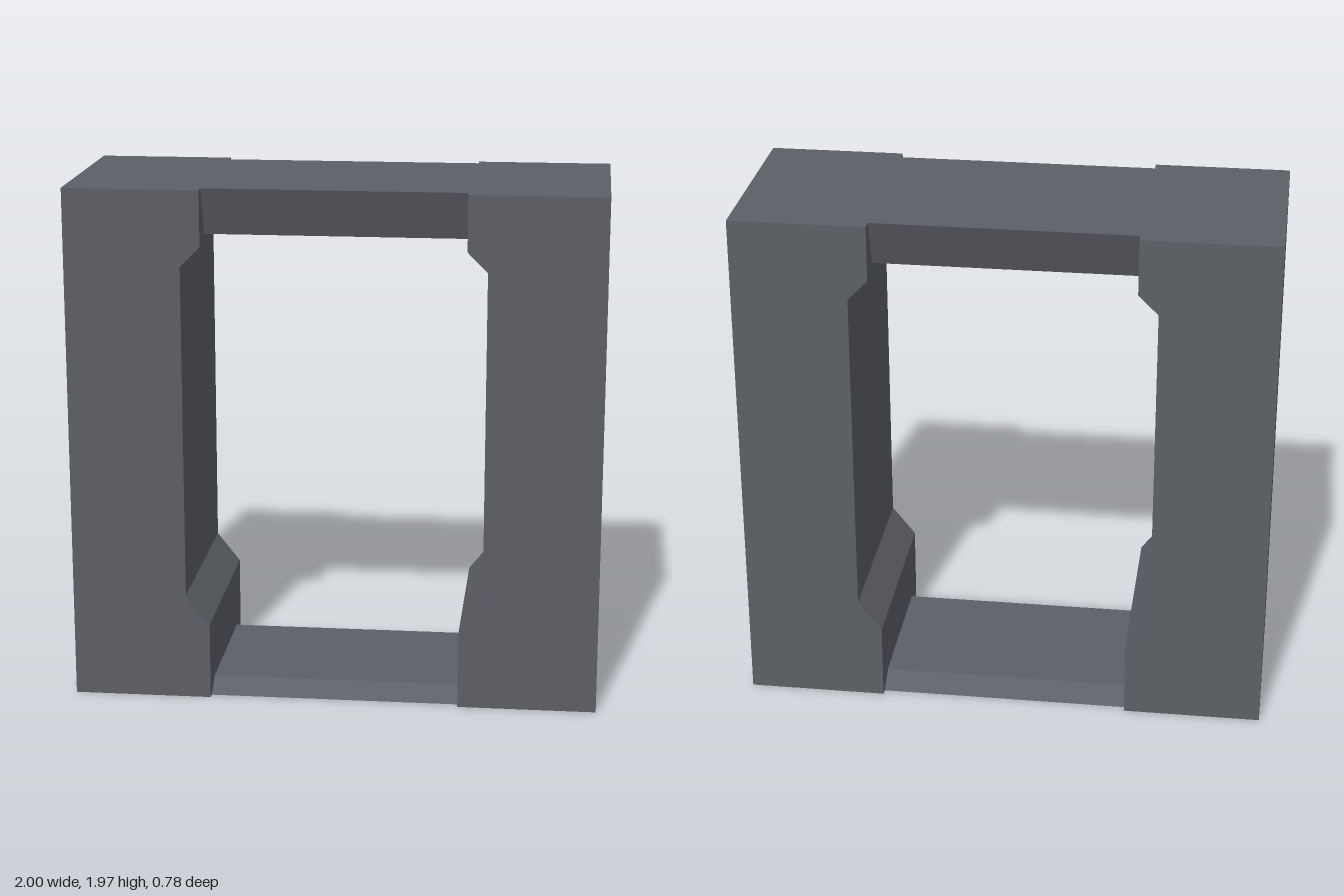
import * as THREE from 'three';

// Extrudes a closed outline, centred along its depth
function extrude(points, depth) {
  const shape = new THREE.Shape(points.map(([x, y]) => new THREE.Vector2(x, y)));
  const geometry = new THREE.ExtrudeGeometry(shape, { depth, bevelEnabled: false });
  return geometry.translate(0, 0, -depth / 2);
}

export function createModel() {
  const group = new THREE.Group();
  group.name = 'doorFrame';
  const material = new THREE.MeshStandardMaterial({ color: 0x5c5f66 });
  material.name = 'dark grey metal';

  const add = (name, geometry) => {
    const mesh = new THREE.Mesh(geometry, material);
    mesh.name = name;
    group.add(mesh);
    return mesh;
  };

  // Pillars with chamfered inner edges, mirrored left and right
  const outline = [
    [0.475, 0], [1, 0], [1, 1.97], [0.49, 1.97],
    [0.49, 1.76], [0.565, 1.685], [0.565, 0.41], [0.475, 0.295],
  ];
  add('leftPillar', extrude(outline, 0.78));
  const mirrored = outline.map(([x, y]) => [-x, y]).reverse();
  add('rightPillar', extrude(mirrored, 0.78));

  // Cross beams: trapezoid sections in z and y, laid along x
  const beam = (name, halfLength, y0, y1, zBottom, zTop) => {
    const section = [[-zBottom, y0], [zBottom, y0], [zTop, y1], [-zTop, y1]];
    add(name, extrude(section, halfLength * 2).rotateY(Math.PI / 2));
  };
  beam('lintel', 0.49, 1.79, 1.97, 0.285, 0.348);
  beam('sill', 0.475, 0, 0.05, 0.365, 0.285);

  return group;
}
